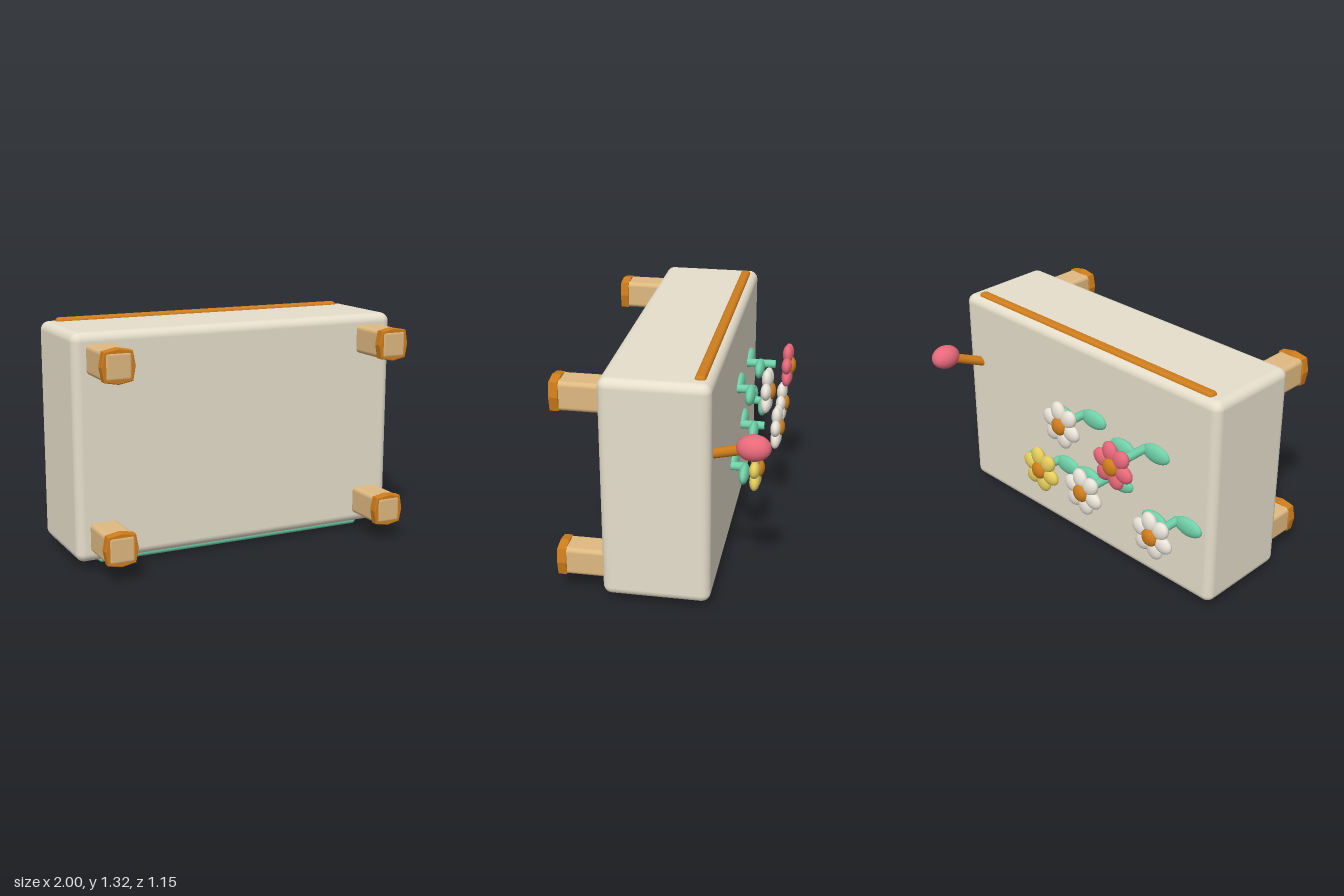
import * as THREE from 'three';
import { RoundedBoxGeometry } from 'three/addons/geometries/RoundedBoxGeometry.js';

const mat = (color) => new THREE.MeshStandardMaterial({ color });
const cream = mat(0xe6decb), tan = mat(0xdeb880), amber = mat(0xcf7d1c);
const green = mat(0x6fd0a8), pink = mat(0xe8697a), yellow = mat(0xe6cd5c), white = mat(0xe8e3d8);

function add(parent, name, geometry, material, x, y, z) {
  const mesh = new THREE.Mesh(geometry, material);
  mesh.name = name;
  mesh.position.set(x, y, z);
  parent.add(mesh);
  return mesh;
}

// Box given by its lowest and highest corners
function roundedBox(parent, name, material, min, max, radius) {
  const s = max.map((v, i) => v - min[i]);
  const c = max.map((v, i) => (v + min[i]) / 2);
  return add(parent, name, new RoundedBoxGeometry(s[0], s[1], s[2], 4, radius), material, ...c);
}

function ellipsoid(parent, name, material, pos, radii) {
  const geometry = new THREE.SphereGeometry(1, 20, 14).scale(...radii);
  return add(parent, name, geometry, material, ...pos);
}

function rod(parent, name, material, from, to, radius) {
  const a = new THREE.Vector3(...from), b = new THREE.Vector3(...to);
  const dir = b.clone().sub(a);
  const mesh = add(parent, name, new THREE.CylinderGeometry(radius, radius, dir.length(), 16), material,
    ...a.clone().add(b).multiplyScalar(0.5).toArray());
  mesh.quaternion.setFromUnitVectors(new THREE.Vector3(0, 1, 0), dir.normalize());
  return mesh;
}

// Leg pointing forward, with an eight-sided foot cap
function makeLeg(x, y) {
  const leg = new THREE.Group();
  leg.name = 'leg';
  leg.position.set(x, y, 0);
  roundedBox(leg, 'legPost', tan, [-0.081, -0.081, 0.29], [0.081, 0.081, 0.577], 0.025);
  const outline = new THREE.Shape();
  for (let i = 0; i < 8; i++) {
    const a = (i * Math.PI) / 4, r = i % 2 ? 0.112 : 0.094;
    outline[i ? 'lineTo' : 'moveTo'](r * Math.cos(a), r * Math.sin(a));
  }
  outline.closePath();
  const foot = new THREE.ExtrudeGeometry(outline, {
    depth: 0.04, bevelSize: 0.006, bevelThickness: 0.006, bevelOffset: -0.006, bevelSegments: 2,
  });
  add(leg, 'footCap', foot, amber, 0, 0, 0.528);
  return leg;
}

// Flower facing backwards on a stem with a pair of leaves
function makeFlower(x, y, z, stemEnd, petalMaterial) {
  const flower = new THREE.Group();
  flower.name = 'flower';
  flower.position.set(x, y, 0);
  rod(flower, 'stem', green, [0, 0, -0.26], [0, 0, stemEnd], 0.025);
  ellipsoid(flower, 'upperLeaf', green, [0.087, 0, -0.362], [0.09, 0.055, 0.03]);
  ellipsoid(flower, 'lowerLeaf', green, [-0.085, 0, -0.281], [0.095, 0.055, 0.03]);
  for (let i = 0; i < 6; i++) {
    const a = (i * Math.PI) / 3 + Math.PI / 12;
    const petal = ellipsoid(flower, 'petal', petalMaterial,
      [0.08 * Math.cos(a), 0.08 * Math.sin(a), z], [0.061, 0.05, 0.031]);
    petal.rotation.z = a;
  }
  ellipsoid(flower, 'flowerCentre', amber, [0, 0, z - 0.02], [0.052, 0.052, 0.031]);
  return flower;
}

export function createModel() {
  const model = new THREE.Group();
  model.name = 'flowerBox';

  // Main case and base mat
  roundedBox(model, 'body', cream, [-1, 0.04, -0.275], [0.97, 1.298, 0.31], 0.05);
  roundedBox(model, 'baseMat', green, [-0.85, 0, -0.145], [0.815, 0.06, 0.232], 0.022);

  // Trim strips along the top and bottom
  for (const y of [1.287, 0.053]) {
    roundedBox(model, 'trimStrip', amber, [-0.918, y - 0.03, -0.235], [0.89, y + 0.03, -0.177], 0.02);
  }

  // Legs at the four corners of the front
  for (const x of [-0.845, 0.815]) {
    for (const y of [0.182, 1.157]) model.add(makeLeg(x, y));
  }

  // Lever with knob
  rod(model, 'leverRod', amber, [0.845, 0.875, -0.24], [0.925, 0.967, -0.487], 0.028);
  ellipsoid(model, 'leverKnob', pink, [0.925, 0.967, -0.487], [0.07, 0.069, 0.09]);

  // Flowers on the back
  const flowers = [
    [-0.755, 0.495, -0.475, -0.4, white],
    [-0.513, 0.85, -0.525, -0.45, pink],
    [-0.25, 0.55, -0.493, -0.418, white],
    [-0.04, 0.873, -0.45, -0.378, white],
    [0.175, 0.478, -0.42, -0.36, yellow],
  ];
  for (const f of flowers) model.add(makeFlower(...f));

  return model;
}
